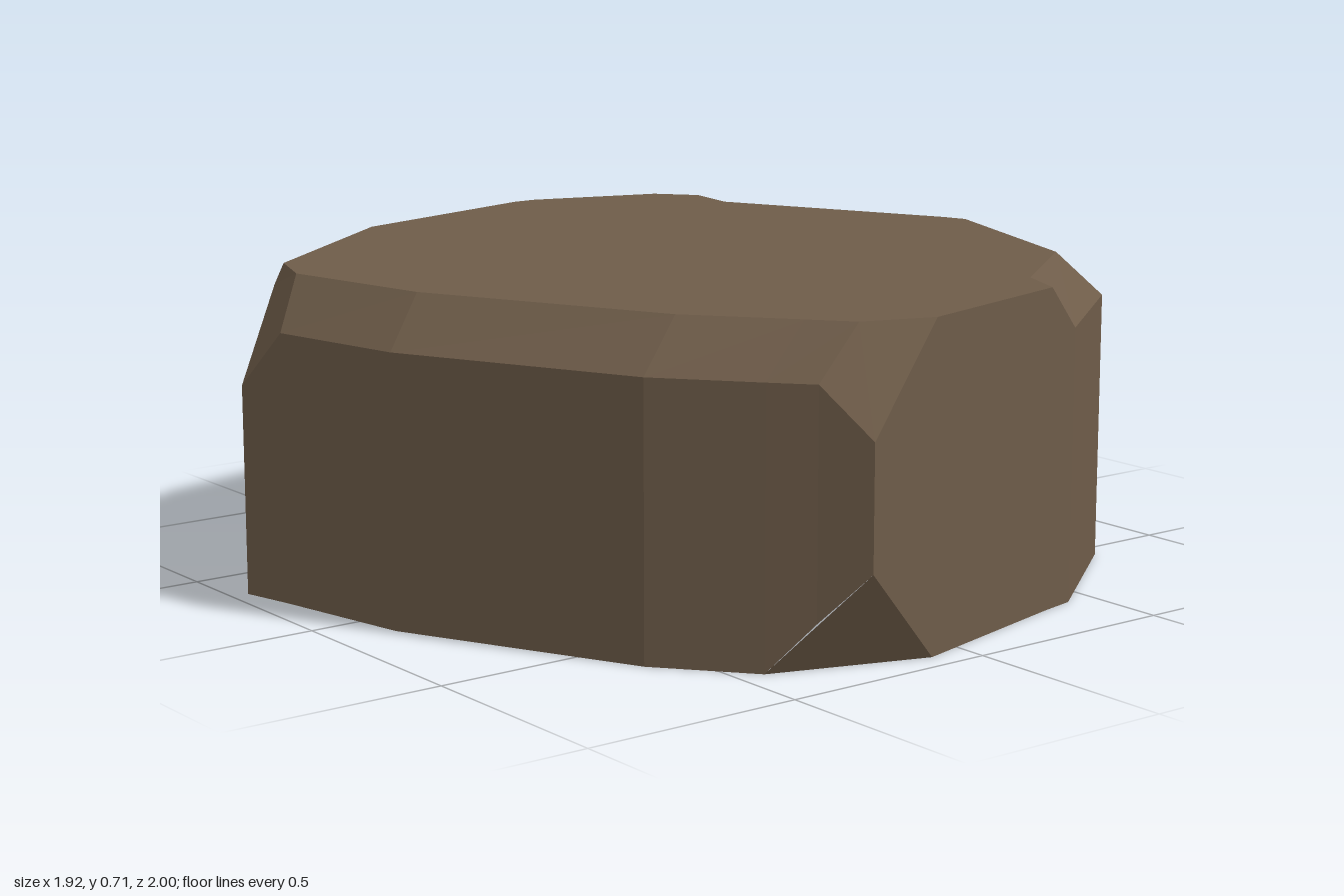
import * as THREE from 'three';

// Stations around the rock: wall x, z, wall-top y, top-face x, z, (wall-bottom y)
const STATIONS = [
  [-0.36, -0.81, 0.685, -0.35, -0.78],
  [0.14, -0.94, 0.685, 0.16, -0.92],
  [0.32, -0.985, 0.56, 0.22, -0.92], // chipped back corner
  [0.38, -1, 0.36, 0.22, -0.92],
  [0.43, -0.94, 0.55, 0.52, -0.825],
  [0.525, -0.825, 0.71, 0.525, -0.825],
  [0.6, -0.735, 0.71, 0.6, -0.735],
  [0.67, -0.65, 0.61, 0.58, -0.6], // bevelled right side
  [0.93, -0.12, 0.61, 0.84, -0.07],
  [0.96, 0, 0.61, 0.86, -0.01],
  [0.77, 0.55, 0.61, 0.68, 0.49],
  [0.43, 0.81, 0.61, 0.39, 0.71],
  [0.34, 0.83, 0.71, 0.34, 0.83],
  [-0.09, 0.945, 0.71, -0.09, 0.945],
  [-0.3, 1, 0.49, -0.25, 0.89, 0.22], // chipped front corner
  [-0.37, 0.91, 0.6, -0.25, 0.89, 0.11],
  [-0.44, 0.83, 0.6, -0.32, 0.805],
  [-0.6, 0.64, 0.6, -0.49, 0.6], // bevelled left side
  [-0.86, 0.11, 0.6, -0.76, 0.06],
  [-0.93, -0.22, 0.6, -0.84, -0.3],
  [-0.96, -0.34, 0.47, -0.84, -0.3],
  [-0.8, -0.465, 0.66, -0.79, -0.44],
];
const HEIGHT = 0.71;

// Turn a list of triangles into a faceted mesh, dropping empty ones
function facetMesh(name, triangles, material) {
  const solid = triangles.filter((t) => new THREE.Triangle(...t).getArea() > 1e-6);
  const geometry = new THREE.BufferGeometry().setFromPoints(solid.flat());
  geometry.computeVertexNormals();
  const mesh = new THREE.Mesh(geometry, material);
  mesh.name = name;
  return mesh;
}

// Faceted band between two rings
function band(lower, upper) {
  return lower.flatMap((a, i) => {
    const j = (i + 1) % lower.length;
    return [[lower[j], a, upper[i]], [lower[j], upper[i], upper[j]]];
  });
}

// Flat horizontal face, facing up (1) or down (-1)
function cap(ring, facing) {
  const points = ring.filter((p, i) => p.distanceTo(ring[(i + 1) % ring.length]) > 1e-3);
  const flat = points.map((p) => new THREE.Vector2(p.x, p.z));
  return THREE.ShapeUtils.triangulateShape(flat, []).map((f) => {
    const t = f.map((k) => points[k]);
    const normal = new THREE.Triangle(...t).getNormal(new THREE.Vector3());
    return normal.y * facing < 0 ? t.reverse() : t;
  });
}

export function createModel() {
  const group = new THREE.Group();
  group.name = 'rock';
  const stone = new THREE.MeshStandardMaterial({ color: 0x6e5c49, flatShading: true });
  stone.name = 'brown stone';

  const foot = STATIONS.map(([x, z, , , , y = 0]) => new THREE.Vector3(x, y, z));
  const shoulder = STATIONS.map(([x, z, y]) => new THREE.Vector3(x, y, z));
  const top = STATIONS.map(([, , , x, z]) => new THREE.Vector3(x, HEIGHT, z));

  group.add(facetMesh('walls', band(foot, shoulder), stone));
  group.add(facetMesh('bevels', band(shoulder, top), stone));
  group.add(facetMesh('topFace', cap(top, 1), stone));
  group.add(facetMesh('underside', cap(foot.filter((p) => p.y === 0), -1), stone));

  // Undercut below the front corner
  const corner = foot.findIndex((p) => p.y > 0.2);
  group.add(facetMesh('undercut', [[foot[corner - 1], foot[corner], foot[corner + 2]]], stone));
  return group;
}
